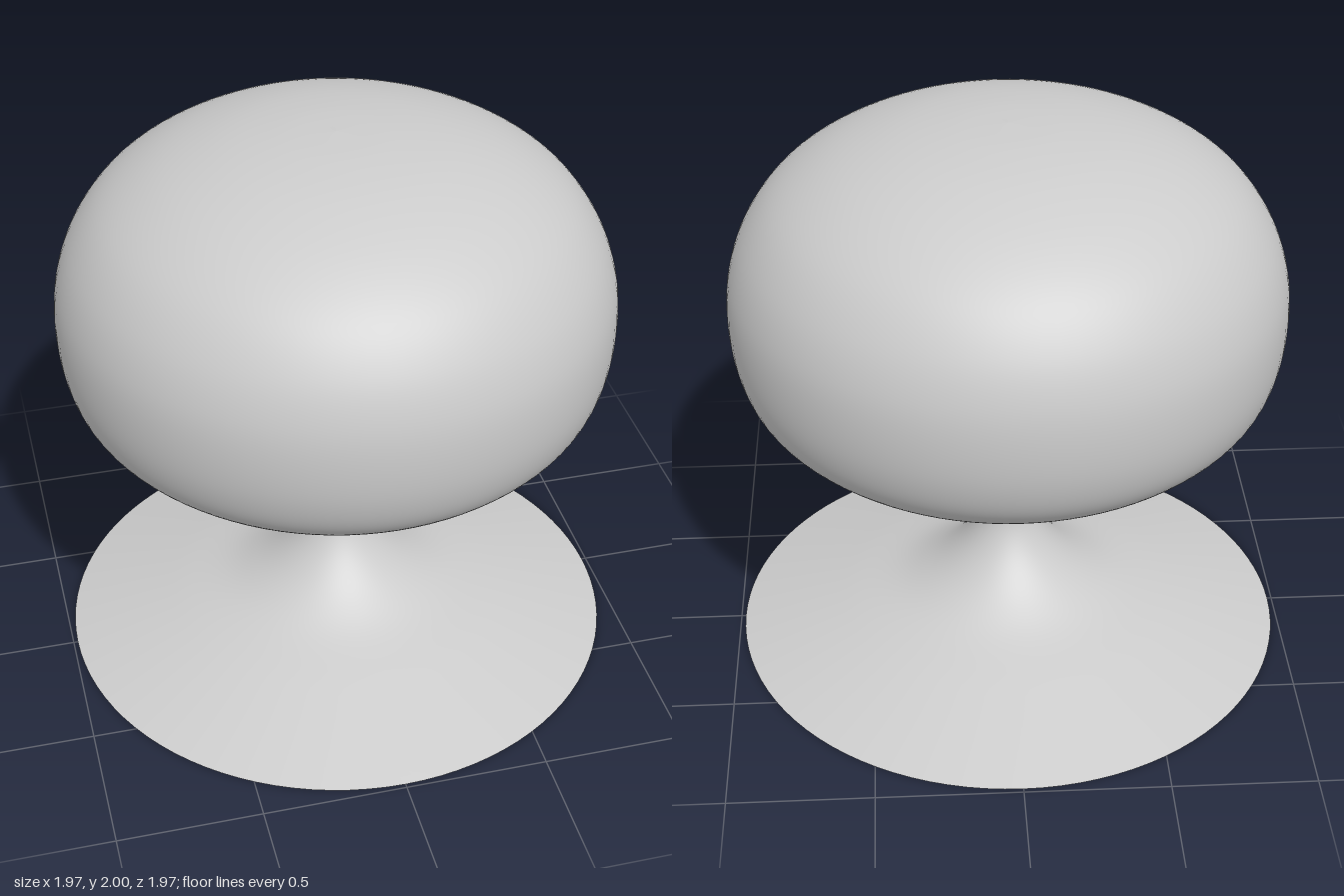
import * as THREE from 'three';

const material = new THREE.MeshStandardMaterial({ color: 0xcccccc, side: THREE.DoubleSide });

// Smooth curve through [radius, height] pairs, listed from bottom to top
function smooth(pairs, divisions) {
  const curve = new THREE.CatmullRomCurve3(pairs.map(([r, y]) => new THREE.Vector3(r, y, 0)));
  return curve.getPoints(divisions).map((p) => new THREE.Vector2(Math.max(p.x, 0), p.y));
}

function addMesh(group, name, geometry) {
  const mesh = new THREE.Mesh(geometry, material);
  mesh.name = name;
  group.add(mesh);
  return mesh;
}

export function createModel() {
  const group = new THREE.Group();
  group.name = 'mushroomLamp';

  // Hollow trumpet foot flowing into the stem
  const stand = smooth([
    [0.985, 0], [0.8, 0.054], [0.6, 0.112], [0.4, 0.17], [0.3, 0.222], [0.22, 0.285],
    [0.155, 0.36], [0.115, 0.435], [0.098, 0.51], [0.093, 0.6], [0.1, 0.69], [0.113, 0.775],
  ], 72);
  addMesh(group, 'stand', new THREE.LatheGeometry(stand, 96));

  // Flat lid closing the stem
  const lid = addMesh(group, 'stemTop', new THREE.CircleGeometry(0.113, 48));
  lid.rotation.x = -Math.PI / 2;
  lid.position.y = 0.775;

  // Rounded shade with a shallow dish underneath, floating just above the stem
  const shade = smooth([
    [0, 0.88], [0.15, 0.885], [0.27, 0.872], [0.36, 0.845], [0.445, 0.83],
    [0.6, 0.868], [0.72, 0.918], [0.83, 0.993], [0.9, 1.075], [0.942, 1.19], [0.957, 1.35],
    [0.942, 1.49], [0.89, 1.63], [0.79, 1.765], [0.63, 1.876], [0.42, 1.953],
    [0.2, 1.99], [0, 2],
  ], 110);
  addMesh(group, 'shade', new THREE.LatheGeometry(shade, 96));

  // Small peg in the middle of the dish
  addMesh(group, 'peg', new THREE.CylinderGeometry(0.03, 0.03, 0.05, 24)).position.y = 0.86;

  return group;
}
